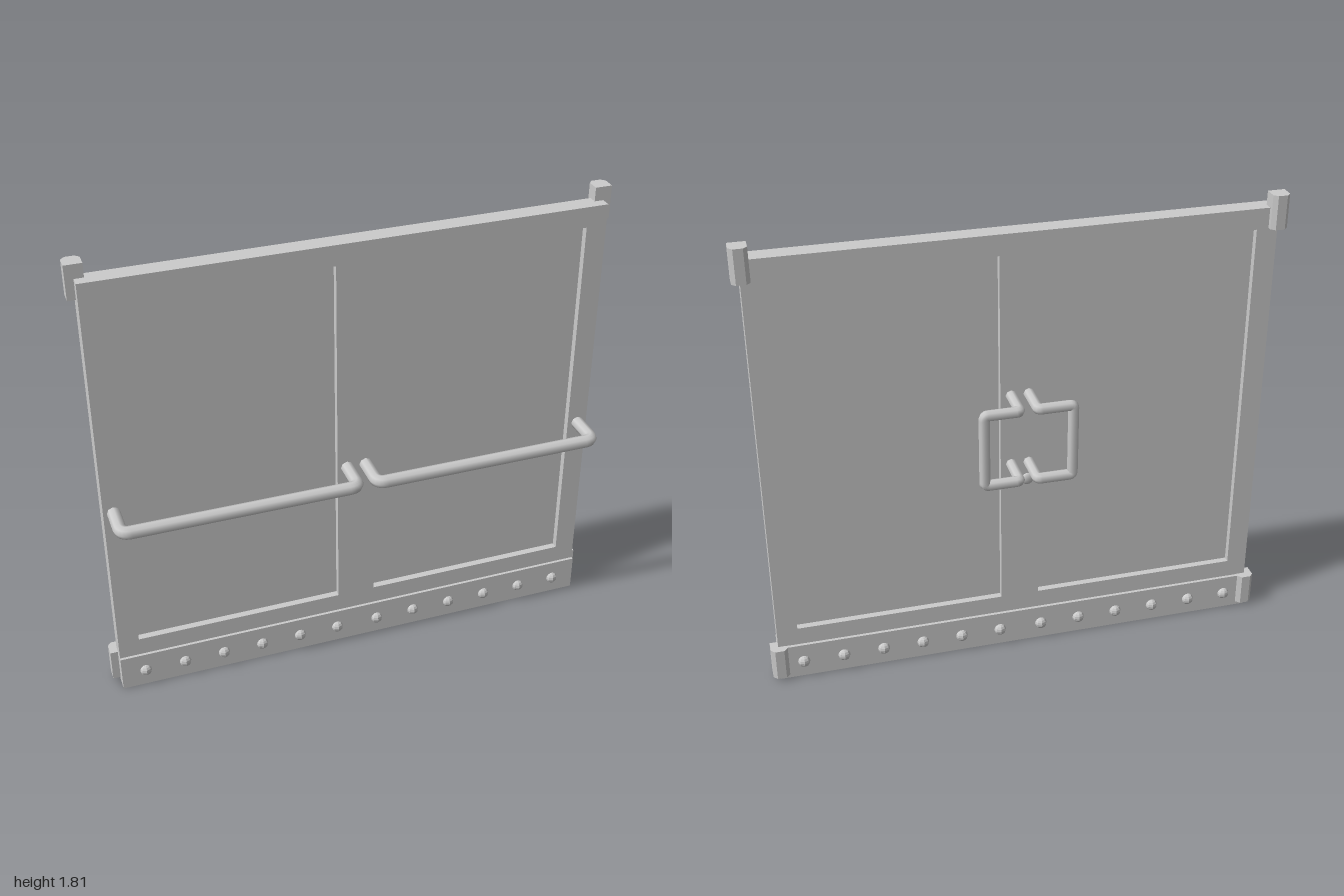
import * as THREE from 'three';

const grey = new THREE.MeshStandardMaterial({ color: 0xcccccc });
const faceted = new THREE.MeshStandardMaterial({ color: 0xcccccc, flatShading: true });

function add(parent, name, geometry, material = grey, x = 0, y = 0, z = 0) {
  const mesh = new THREE.Mesh(geometry, material);
  mesh.name = name;
  mesh.position.set(x, y, z);
  parent.add(mesh);
  return mesh;
}

function rectangle(target, x0, y0, x1, y1) {
  target.moveTo(x0, y0).lineTo(x1, y0).lineTo(x1, y1).lineTo(x0, y1).closePath();
  return target;
}

// Round bar through corner points, each corner eased by a short bend
function bar(points, radius, bend, segments) {
  const p = points.map((a) => new THREE.Vector3(...a));
  const path = new THREE.CurvePath();
  let from = p[0];
  for (let i = 1; i < p.length - 1; i++) {
    const before = p[i].clone().add(p[i - 1].clone().sub(p[i]).setLength(bend));
    const after = p[i].clone().add(p[i + 1].clone().sub(p[i]).setLength(bend));
    path.add(new THREE.LineCurve3(from, before));
    path.add(new THREE.QuadraticBezierCurve3(before, p[i], after));
    from = after;
  }
  path.add(new THREE.LineCurve3(from, p[p.length - 1]));
  return new THREE.TubeGeometry(path, segments, radius, 8, false);
}

export function createModel() {
  const model = new THREE.Group();
  model.name = 'doubleDoor';

  // Frame of both leaves with two panel openings
  const outline = rectangle(new THREE.Shape(), -0.97, 0.01, 0.97, 1.76);
  for (const s of [-1, 1]) {
    outline.holes.push(rectangle(new THREE.Path(), s * 0.075, 0.22, s * 0.89, 1.68));
  }
  const frame = new THREE.ExtrudeGeometry(outline, { depth: 0.073, bevelEnabled: false });
  add(model, 'doorFrame', frame, grey, 0, 0, -0.046);

  // Kick plate wrapping the bottom edge
  add(model, 'kickPlate', new THREE.BoxGeometry(1.942, 0.146, 0.097), grey, 0, 0.073, -0.01);

  // Hinge block section, chamfered at the back
  const hinge = new THREE.Shape();
  hinge.moveTo(0.935, 0.013).lineTo(1, 0.013).lineTo(1, 0.062).lineTo(0.985, 0.077);
  hinge.lineTo(0.95, 0.077).lineTo(0.935, 0.062).closePath();
  const hingeGeometry = new THREE.ExtrudeGeometry(hinge, { depth: 0.13, bevelEnabled: false });
  hingeGeometry.rotateX(-Math.PI / 2);

  const rivet = new THREE.SphereGeometry(0.025, 8, 8);

  for (const s of [-1, 1]) {
    const leaf = new THREE.Group();
    leaf.name = s > 0 ? 'leftLeaf' : 'rightLeaf';
    model.add(leaf);

    add(leaf, 'recessedPanel', new THREE.BoxGeometry(0.825, 1.47, 0.02), grey, s * 0.4825, 0.95, -0.01);

    // Hinges at top and bottom of the outer edge
    for (const y of [0.017, 1.683]) {
      const block = add(leaf, 'hinge', hingeGeometry, grey, 0, y, 0);
      if (s < 0) block.position.x = -1.935;
    }

    // Rivets on both faces of the kick plate
    for (let i = 0; i < 6; i++) {
      const x = s * (0.085 + i * 0.1582);
      for (const z of [0.034, -0.056]) add(leaf, 'rivet', rivet, faceted, x, 0.07, z);
    }

    // Long push bar on the front
    add(leaf, 'pushBar', bar([
      [s * 0.037, 0.833, 0], [s * 0.037, 0.833, 0.164],
      [s * 0.931, 0.833, 0.164], [s * 0.931, 0.833, 0],
    ], 0.025, 0.035, 140));

    // Offset pull handle on the back
    add(leaf, 'pullHandle', bar([
      [s * 0.034, 1.125, -0.03], [s * 0.034, 1.125, -0.175],
      [s * 0.168, 1.125, -0.175], [s * 0.168, 0.832, -0.175],
      [s * 0.034, 0.832, -0.175], [s * 0.034, 0.832, -0.03],
    ], 0.021, 0.014, 140));
  }

  // Small lock boss below the pull handle
  const lock = add(model, 'lockBoss', new THREE.SphereGeometry(0.025, 10, 8), grey, -0.03, 0.757, -0.045);
  lock.scale.z = 0.5;

  return model;
}
